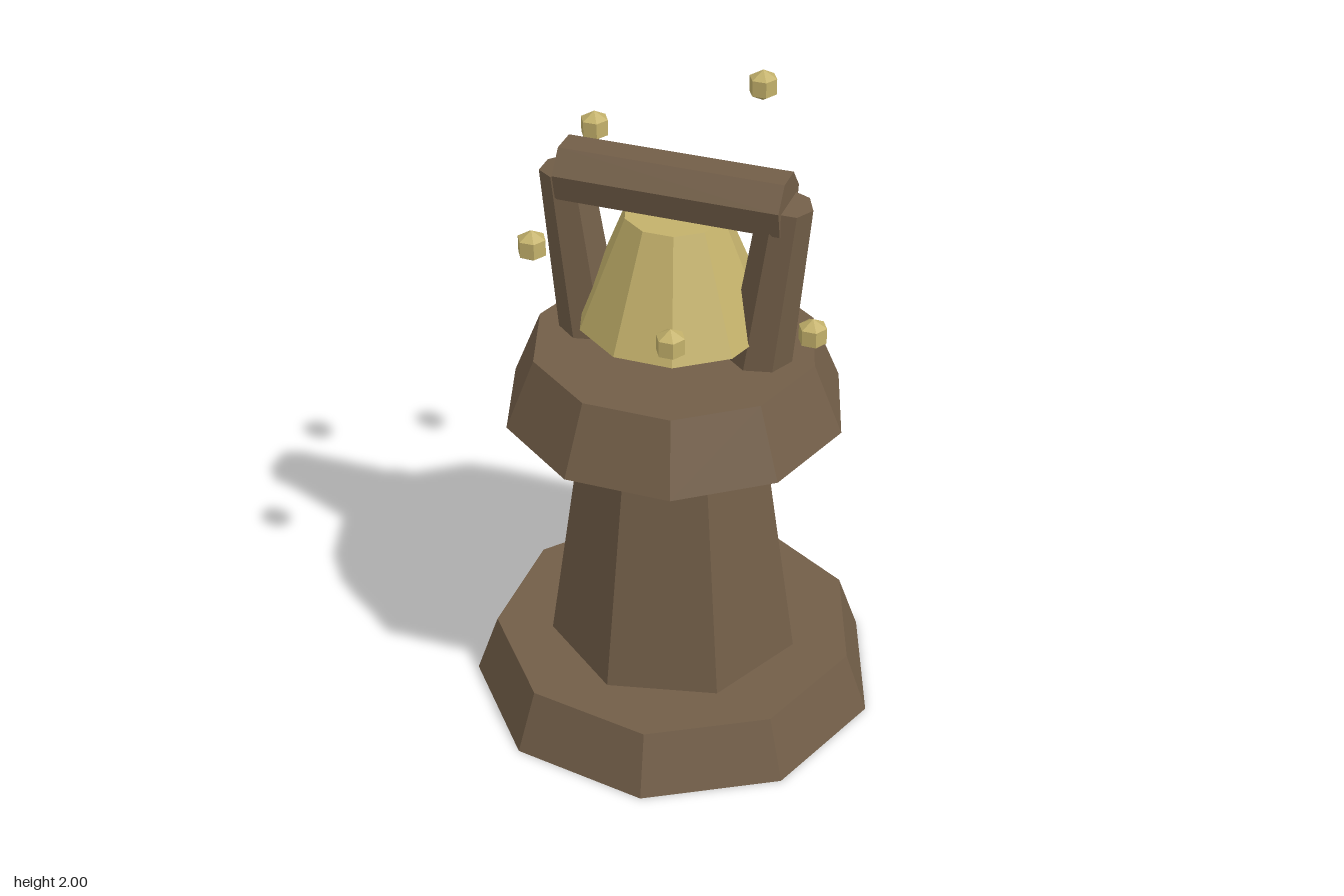
import * as THREE from 'three';

export function createModel() {
  const model = new THREE.Group();
  model.name = 'bellTower';
  const flat = (name, color) => {
    const m = new THREE.MeshStandardMaterial({ color, flatShading: true });
    m.name = name;
    return m;
  };
  const brown = flat('brown', 0x725e48);
  const gold = flat('gold', 0xc3b16b);

  // Everything is placed around the tower axis, which sits slightly off centre
  const tower = new THREE.Group();
  tower.name = 'tower';
  tower.position.x = -0.02;
  model.add(tower);

  const add = (name, geometry, material) => {
    const mesh = new THREE.Mesh(geometry, material);
    mesh.name = name;
    tower.add(mesh);
    return mesh;
  };

  // Tapered prism with one corner towards +x, standing from y0 to y1
  const prism = (name, sides, rTop, rBottom, y0, y1, material) => {
    const g = new THREE.CylinderGeometry(rTop, rBottom, y1 - y0, sides);
    g.rotateY(Math.PI / 2).translate(0, (y0 + y1) / 2, 0);
    return add(name, g, material);
  };

  // Tower body
  prism('base', 9, 0.58, 0.65, 0, 0.2, brown);
  prism('shaft', 7, 0.278, 0.4, 0.2, 1.05, brown);
  prism('platform', 10, 0.44, 0.53, 1.05, 1.27, brown);

  // Posts lean outwards under the beam
  const lean = Math.atan2(0.07, 0.53);
  for (const side of [1, -1]) {
    const post = prism(side > 0 ? 'leftPost' : 'rightPost', 7, 0.08, 0.1, -0.56, 0, brown);
    post.position.set(side * 0.34, 1.8, 0);
    post.rotation.z = -side * lean;
  }

  // Beam with a flat top and one edge pointing down
  const beam = new THREE.CylinderGeometry(0.1, 0.1, 0.69, 7);
  beam.rotateZ(Math.PI / 2).rotateX(Math.PI / 2);
  add('beam', beam, brown).position.y = 1.79;

  // Bell and clapper
  prism('bell', 10, 0.152, 0.295, 1.355, 1.71, gold);
  add('clapper', new THREE.SphereGeometry(0.08, 6, 5), brown).position.y = 1.35;

  // Floating beads climbing in a spiral
  for (let i = 0; i < 5; i++) {
    const a = (i * Math.PI * 2) / 5;
    const bead = add('bead' + (i + 1), new THREE.SphereGeometry(0.05, 6, 3), gold);
    bead.position.set(0.43 * Math.cos(a), 1.38 + 0.1425 * i, 0.43 * Math.sin(a));
  }
  return model;
}
